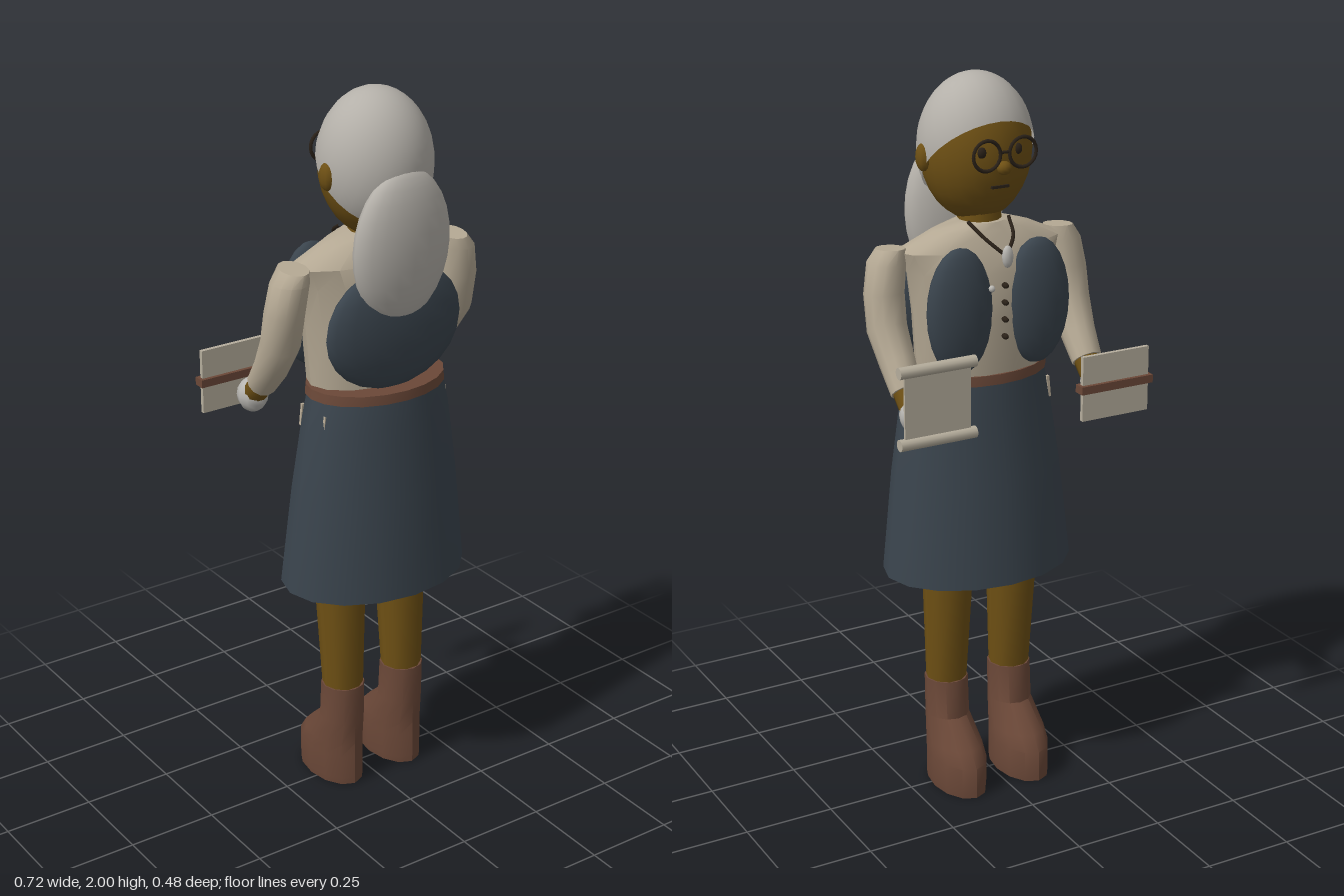
import * as THREE from 'three';
import { toCreasedNormals } from 'three/addons/utils/BufferGeometryUtils.js';

const CX = 0.018; // body centre line
const mat = (color, side = THREE.FrontSide) => new THREE.MeshStandardMaterial({ color, side });
const skin = mat(0x6e5014), hair = mat(0xb4b0a9), cream = mat(0xb5a994), slate = mat(0x3a444d);
const slateOpen = mat(0x3a444d, THREE.DoubleSide), brown = mat(0x6b4838), dark = mat(0x2a2118);
const pale = mat(0xb9b7b2), paper = mat(0xb5ad9c);

// Stack of elliptical rings, bottom to top: [x, y, z, rx, rz, tilt]
function loft(rings, n = 12, caps = true, crease = 0.7) {
  const pos = [], idx = [];
  for (const [x, y, z, rx, rz, tilt = 0] of rings) {
    for (let i = 0; i < n; i++) {
      const a = (i / n) * Math.PI * 2, d = rz * Math.sin(a);
      pos.push(x + rx * Math.cos(a), y - d * Math.sin(tilt), z + d * Math.cos(tilt));
    }
  }
  for (let r = 0; r < rings.length - 1; r++) {
    for (let i = 0; i < n; i++) {
      const a = r * n + i, b = r * n + ((i + 1) % n);
      idx.push(a, a + n, b, b, a + n, b + n);
    }
  }
  if (caps) {
    const t = (rings.length - 1) * n;
    for (let i = 1; i < n - 1; i++) idx.push(0, i, i + 1, t, t + i + 1, t + i);
  }
  const g = new THREE.BufferGeometry();
  g.setAttribute('position', new THREE.Float32BufferAttribute(pos, 3));
  g.setIndex(idx);
  return toCreasedNormals(g, crease);
}

export function createModel() {
  const model = new THREE.Group();
  const body = new THREE.Group();
  body.name = 'figure';
  body.position.x = CX;
  model.add(body);

  const add = (name, geo, material, x = 0, y = 0, z = 0, parent = body) => {
    const m = new THREE.Mesh(geo, material);
    m.name = name;
    m.position.set(x, y, z);
    parent.add(m);
    return m;
  };
  const ball = (name, material, x, y, z, rx, ry, rz, w = 16, h = 12) => {
    const m = add(name, new THREE.SphereGeometry(1, w, h), material, x, y, z);
    m.scale.set(rx, ry, rz);
    return m;
  };

  // Boots and legs
  for (const s of [-1, 1]) {
    const x = s * 0.1;
    add('boot', loft([
      [x, 0, -0.024, 0.07, 0.119], [x, 0.02, -0.024, 0.073, 0.12], [x, 0.09, -0.024, 0.073, 0.119],
      [x, 0.13, -0.01, 0.07, 0.105], [x, 0.2, 0.03, 0.06, 0.067], [x, 0.31, 0.035, 0.06, 0.062],
    ], 12), brown);
    add('leg', loft([
      [x, 0.3, 0.035, 0.056, 0.058], [x, 0.64, 0.022, 0.07, 0.074], [x, 0.9, 0.022, 0.074, 0.078],
    ], 10), skin);
  }

  // Skirt with open hem, belt and pocket trims
  add('skirt', loft([
    [0, 0.64, 0.037, 0.272, 0.201], [0, 0.92, 0.043, 0.243, 0.172], [0, 1.12, 0.047, 0.214, 0.15],
    [0, 1.21, 0.047, 0.195, 0.14],
  ], 16, false, 1), slateOpen);
  add('belt', loft([[0, 1.195, 0.045, 0.203, 0.148], [0, 1.222, 0.045, 0.2, 0.146]], 20), brown);
  for (const sx of [-1, 1]) for (const sz of [-1, 1]) {
    const trim = add('pocketTrim', new THREE.BoxGeometry(0.008, 0.06, 0.008), cream, sx * 0.194, 1.13, 0.04 + sz * 0.054);
    trim.rotation.z = sx * 0.1;
  }

  // Torso, waistcoat panels and neck
  add('torso', loft([
    [0, 1.2, 0.02, 0.185, 0.115], [0, 1.38, 0.015, 0.198, 0.122], [0, 1.5, 0.015, 0.215, 0.118],
    [0, 1.555, 0.02, 0.237, 0.1], [0, 1.6, 0.015, 0.14, 0.075], [0, 1.62, 0.01, 0.07, 0.06],
  ], 14), cream);
  add('neck', new THREE.CylinderGeometry(0.055, 0.06, 0.1, 12), skin, 0, 1.63, 0.02);
  ball('waistcoatBack', slate, 0, 1.385, 0.13, 0.212, 0.17, 0.052);
  for (const s of [-1, 1]) ball('waistcoatFront', slate, s * 0.115, 1.405, -0.085, 0.095, 0.172, 0.045);
  for (let i = 0; i < 4; i++) ball('button', dark, 0, 1.47 - i * 0.046, -0.12, 0.008, 0.008, 0.014, 8, 6);
  ball('pin', pale, 0.045, 1.47, -0.13, 0.009, 0.009, 0.009, 8, 6);

  // Necklace
  for (const s of [-1, 1]) {
    const path = new THREE.CatmullRomCurve3([
      new THREE.Vector3(s * 0.06, 1.625, -0.03), new THREE.Vector3(s * 0.04, 1.59, -0.09),
      new THREE.Vector3(0, 1.55, -0.125),
    ]);
    add('cord', new THREE.TubeGeometry(path, 10, 0.005, 6), dark);
  }
  ball('pendant', pale, 0, 1.55, -0.132, 0.016, 0.03, 0.012, 10, 8);

  // Arms: sleeve, wrist, hand and thumb
  for (const s of [-1, 1]) {
    const x = s * 0.272;
    add('sleeve', loft([
      [x, 1.215, -0.085, 0.042, 0.04, 0.75], [x, 1.28, -0.035, 0.048, 0.047, 0.65],
      [x + s * 0.004, 1.36, 0.015, 0.054, 0.052, 0.45], [x + s * 0.002, 1.45, 0.033, 0.054, 0.053, 0.1],
      [s * 0.262, 1.53, 0.04, 0.05, 0.057], [s * 0.25, 1.565, 0.04, 0.037, 0.05, 0.1],
    ], 12), cream);
    add('wrist', loft([
      [x, 1.175, -0.12, 0.034, 0.032, 0.75], [x, 1.22, -0.08, 0.037, 0.035, 0.75],
    ], 10), skin);
    ball('hand', pale, x, 1.165, -0.133, 0.042, 0.048, 0.044, 10, 8);
    ball('thumb', pale, x - s * 0.034, 1.18, -0.153, 0.014, 0.022, 0.018, 8, 6);
  }

  // Head, hair cap with a slanted hairline, and hair hanging behind
  ball('head', skin, 0, 1.803, 0.04, 0.149, 0.192, 0.143, 24, 16);
  const capGeo = new THREE.SphereGeometry(1, 28, 14, 0, Math.PI * 2, 0, 1.737);
  capGeo.rotateX(0.64);
  const cap = add('hairCap', capGeo, mat(0xb4b0a9, THREE.DoubleSide), 0, 1.803, 0.04);
  cap.scale.set(0.155, 0.197, 0.149);
  ball('hangingHair', hair, 0, 1.61, 0.16, 0.145, 0.21, 0.062, 20, 14).rotation.x = 0.06;

  // Face
  ball('nose', skin, 0, 1.778, -0.113, 0.02, 0.018, 0.018, 10, 8);
  for (const s of [-1, 1]) {
    ball('ear', skin, s * 0.15, 1.79, 0.045, 0.018, 0.037, 0.026, 10, 8);
    ball('eye', dark, s * 0.052, 1.818, -0.09, 0.013, 0.015, 0.01, 8, 6);
    add('spectacleRim', new THREE.TorusGeometry(0.039, 0.005, 6, 20), dark, s * 0.052, 1.815, -0.117);
  }
  const bridge = add('spectacleBridge', new THREE.CylinderGeometry(0.004, 0.004, 0.03, 6), dark, 0, 1.82, -0.117);
  bridge.rotation.z = Math.PI / 2;
  add('mouth', new THREE.BoxGeometry(0.05, 0.007, 0.012), dark, 0, 1.725, -0.09);

  // Open scroll with a roller at each end
  const scroll = new THREE.Group();
  scroll.name = 'scroll';
  scroll.position.set(0.25, 1.207, -0.181);
  model.add(scroll);
  add('scrollSheet', new THREE.BoxGeometry(0.19, 0.19, 0.007), paper, 0, 0, 0, scroll);
  for (const s of [-1, 1]) {
    const roller = new THREE.CylinderGeometry(0.016, 0.016, 0.22, 12);
    add('roller', roller, paper, 0, s * 0.097, 0, scroll).rotation.z = Math.PI / 2;
  }

  // Open ledger with a spine across it
  const ledger = new THREE.Group();
  ledger.name = 'ledger';
  ledger.position.set(-0.2525, 1.19, -0.2285);
  model.add(ledger);
  add('pages', new THREE.BoxGeometry(0.202, 0.178, 0.012), paper, 0, 0, 0, ledger);
  add('spine', new THREE.BoxGeometry(0.219, 0.022, 0.033), brown, 0, 0, 0, ledger);

  return model;
}
